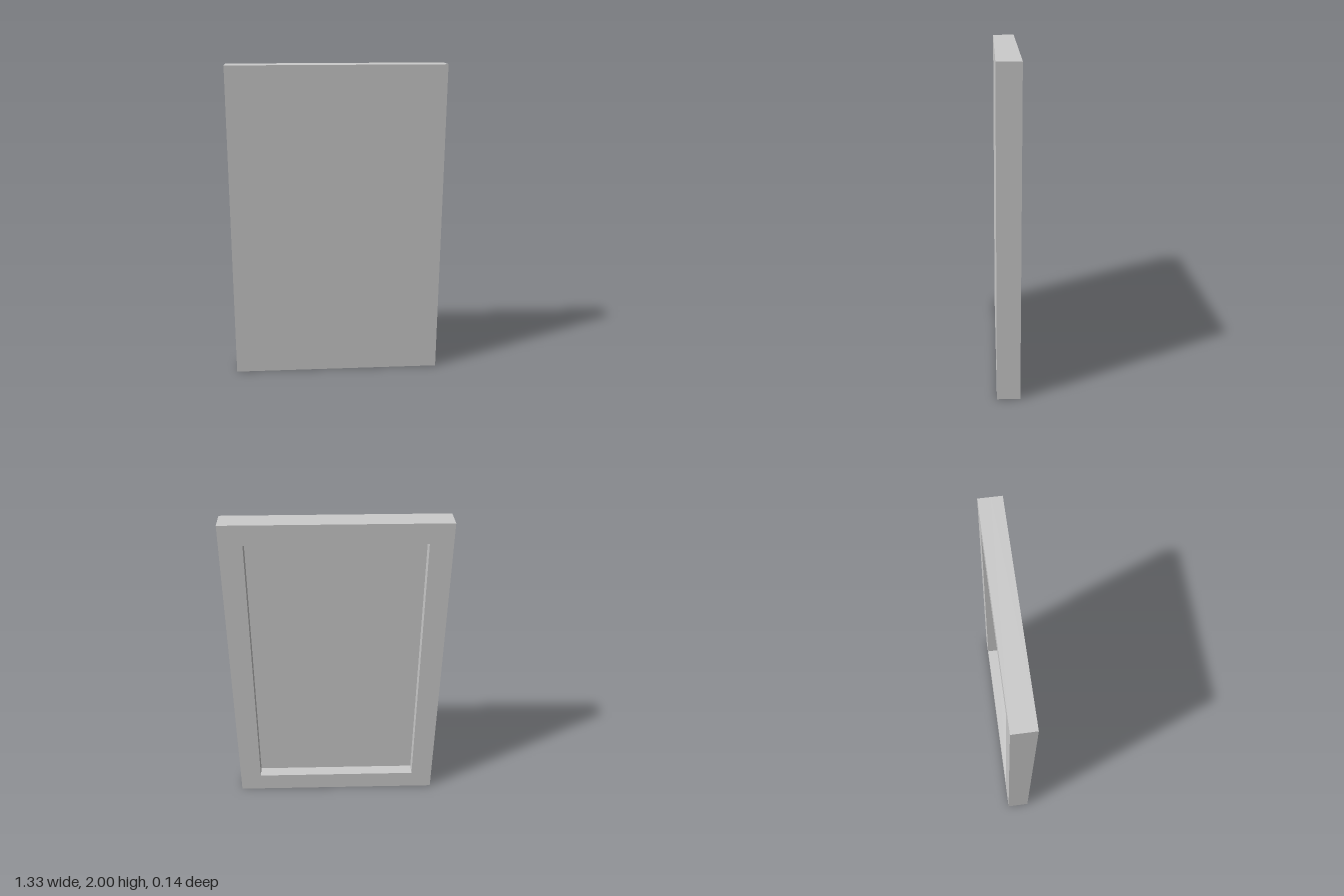
import * as THREE from 'three';

const WIDTH = 1.333, HEIGHT = 2, DEPTH = 0.14;
const RECESS = 0.075;               // depth of the hollow in the back
const SIDE = 0.138, RAIL = 0.123;   // border widths: left/right, top/bottom

// Adds the corners of an upright rectangle to a shape or path
function rectangle(path, halfWidth, bottom, top) {
  path.moveTo(-halfWidth, bottom);
  path.lineTo(halfWidth, bottom);
  path.lineTo(halfWidth, top);
  path.lineTo(-halfWidth, top);
  path.closePath();
  return path;
}

export function createModel() {
  const group = new THREE.Group();
  group.name = 'framedPanel';
  const material = new THREE.MeshStandardMaterial({ color: 0xcccccc });

  // Raised border around the back
  const outline = rectangle(new THREE.Shape(), WIDTH / 2, 0, HEIGHT);
  outline.holes.push(rectangle(new THREE.Path(), WIDTH / 2 - SIDE, RAIL, HEIGHT - RAIL));
  const frame = new THREE.Mesh(
    new THREE.ExtrudeGeometry(outline, { depth: RECESS, bevelEnabled: false }), material);
  frame.name = 'backFrame';
  frame.position.z = -DEPTH / 2;

  // Solid flat front
  const thickness = DEPTH - RECESS;
  const panel = new THREE.Mesh(new THREE.BoxGeometry(WIDTH, HEIGHT, thickness), material);
  panel.name = 'frontPanel';
  panel.position.set(0, HEIGHT / 2, DEPTH / 2 - thickness / 2);

  group.add(frame, panel);
  return group;
}
